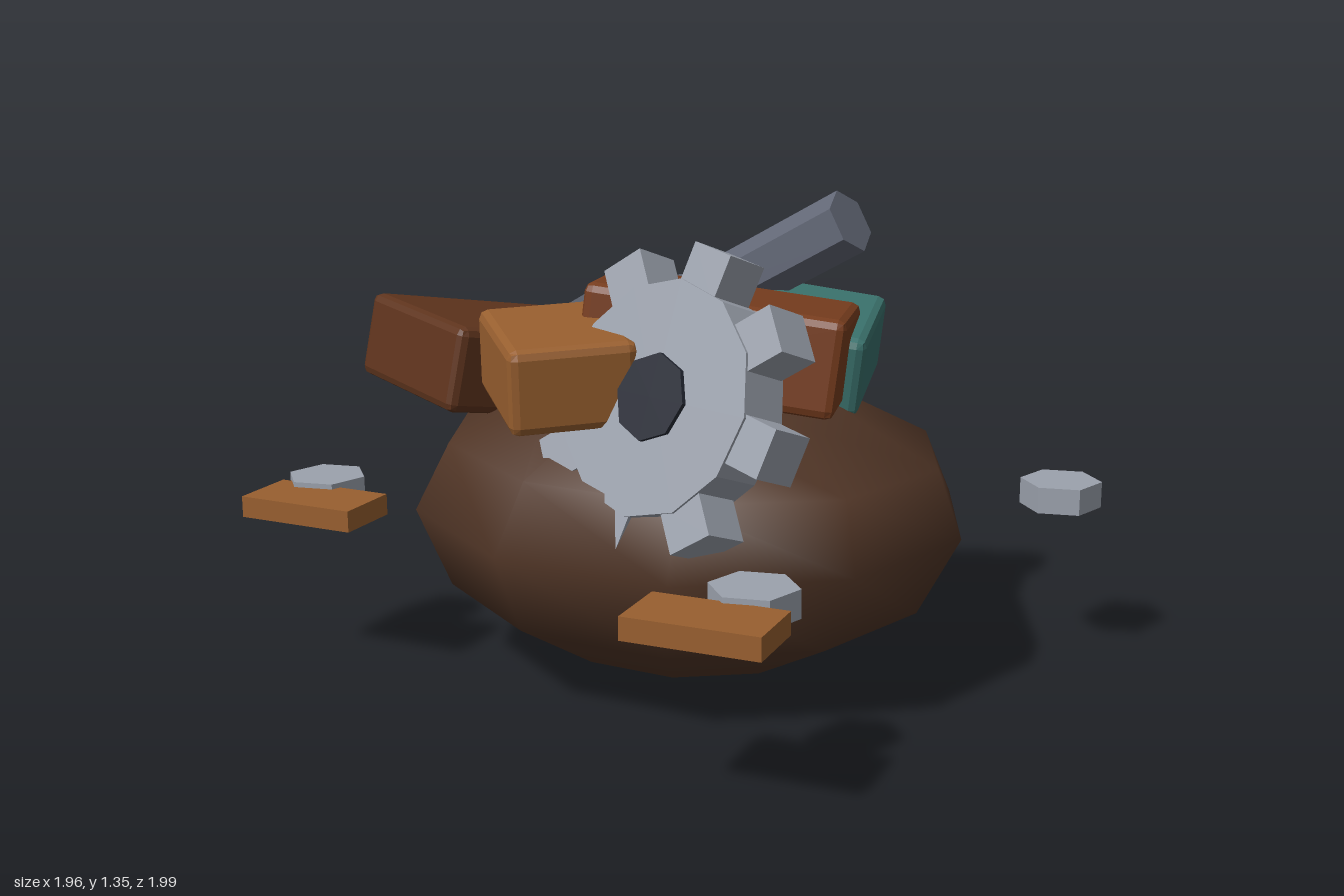
import * as THREE from 'three';
import { RoundedBoxGeometry } from 'three/addons/geometries/RoundedBoxGeometry.js';
import { mergeVertices } from 'three/addons/utils/BufferGeometryUtils.js';

const material = (color, flatShading = true) => new THREE.MeshStandardMaterial({ color, flatShading });

export function createModel() {
  const model = new THREE.Group();
  const steel = material(0x9ca2ad);
  const wood = material(0x985f2f);

  const add = (name, geometry, mat, position, rotation = [0, 0, 0], parent = model) => {
    const mesh = new THREE.Mesh(geometry, mat);
    mesh.name = name;
    mesh.position.set(...position);
    mesh.rotation.set(...rotation, 'YXZ');
    parent.add(mesh);
    return mesh;
  };

  // Earth mound: a coarse sphere, flatter and fuller on top than below
  let mound = new THREE.SphereGeometry(1, 10, 6, Math.PI / 2);
  mound.deleteAttribute('uv');
  mound.deleteAttribute('normal');
  const p = mound.attributes.position;
  for (let i = 0; i < p.count; i++) {
    const y = p.getY(i);
    const fuller = 1 + 0.1 * Math.max(y, 0);
    p.setXYZ(i, p.getX(i) * 0.84 * fuller + 0.025 * y, y * (y > 0 ? 0.38 : 0.46), p.getZ(i) * 0.735);
  }
  mound = mergeVertices(mound, 1e-3);
  mound.computeVertexNormals();
  add('mound', mound, material(0x503526, false), [-0.01, 0.46, 0.04]);

  // Bevelled scrap blocks: name, color, size, position, rotation
  const blocks = [
    ['darkBrownBlock', 0x5f341d, [0.51, 0.25, 0.65], [-0.69, 0.8, 0.14], [-0.18, -0.13, -0.07]],
    ['greySlab', 0x585d69, [0.58, 0.24, 0.46], [-0.45, 0.85, -0.305], [0.12, 0.31, 0.14]],
    ['tealBlock', 0x3a716c, [0.59, 0.23, 0.42], [0.135, 0.925, -0.15], [0.14, 0.52, -0.13]],
    ['rustBlock', 0x783d1e, [0.71, 0.27, 0.4], [0.15, 0.955, 0.075], [-0.05, 0.57, -0.12]],
    ['orangeBlock', 0x985f2f, [0.45, 0.23, 0.34], [-0.04, 0.925, 0.51], [0.03, -0.54, -0.08]],
  ];
  for (const [name, color, size, position, rotation] of blocks) {
    add(name, new RoundedBoxGeometry(...size, 1, 0.025), material(color), position, rotation);
  }

  // Six-sided beam sticking out of the pile
  const low = new THREE.Vector3(-0.47, 0.82, -0.14);
  const high = new THREE.Vector3(0.315, 1.265, -0.28);
  const along = high.clone().sub(low);
  const beam = add('beam', new THREE.CylinderGeometry(0.093, 0.093, along.length(), 6), material(0x636877),
    low.clone().add(high).multiplyScalar(0.5).toArray());
  along.normalize();
  const side = new THREE.Vector3(0, 1, 0).cross(along).normalize();
  beam.quaternion.setFromRotationMatrix(
    new THREE.Matrix4().makeBasis(side, along, side.clone().cross(along)));

  // Gear leaning back against the pile
  const gear = new THREE.Group();
  gear.name = 'gear';
  gear.position.set(0.325, 0.875, 0.45);
  gear.rotation.x = -0.35;
  model.add(gear);
  add('gearDisc', new THREE.CylinderGeometry(0.31, 0.31, 0.15, 12), steel, [0, 0, 0], [Math.PI / 2, 0, 0], gear);
  add('gearHub', new THREE.CylinderGeometry(0.115, 0.115, 0.175, 8), material(0x262a35), [0, 0, 0],
    [Math.PI / 2, 0, 0], gear);
  for (let i = 0; i < 8; i++) {
    const a = 0.6 + i * Math.PI / 4;
    add('gearTooth', new THREE.BoxGeometry(0.13, 0.13, 0.135), steel,
      [0.34 * Math.cos(a), 0.34 * Math.sin(a), 0], [0, 0, a], gear);
  }

  // Loose planks around the mound
  for (const [x, z, yaw] of [[-0.56, -0.82, 1.515], [-0.69, 0.845, 0.32], [0.775, 0.81, 0.35]]) {
    add('plank', new THREE.BoxGeometry(0.355, 0.06, 0.19), wood, [x, 0.48, z], [0, yaw, 0]);
  }

  // Loose hexagonal nuts
  for (const [x, z] of [[0.783, -0.68], [-0.8, 0.72], [0.755, 0.615]]) {
    add('hexNut', new THREE.CylinderGeometry(0.115, 0.115, 0.075, 6), steel, [x, 0.487, z]);
  }
  return model;
}
